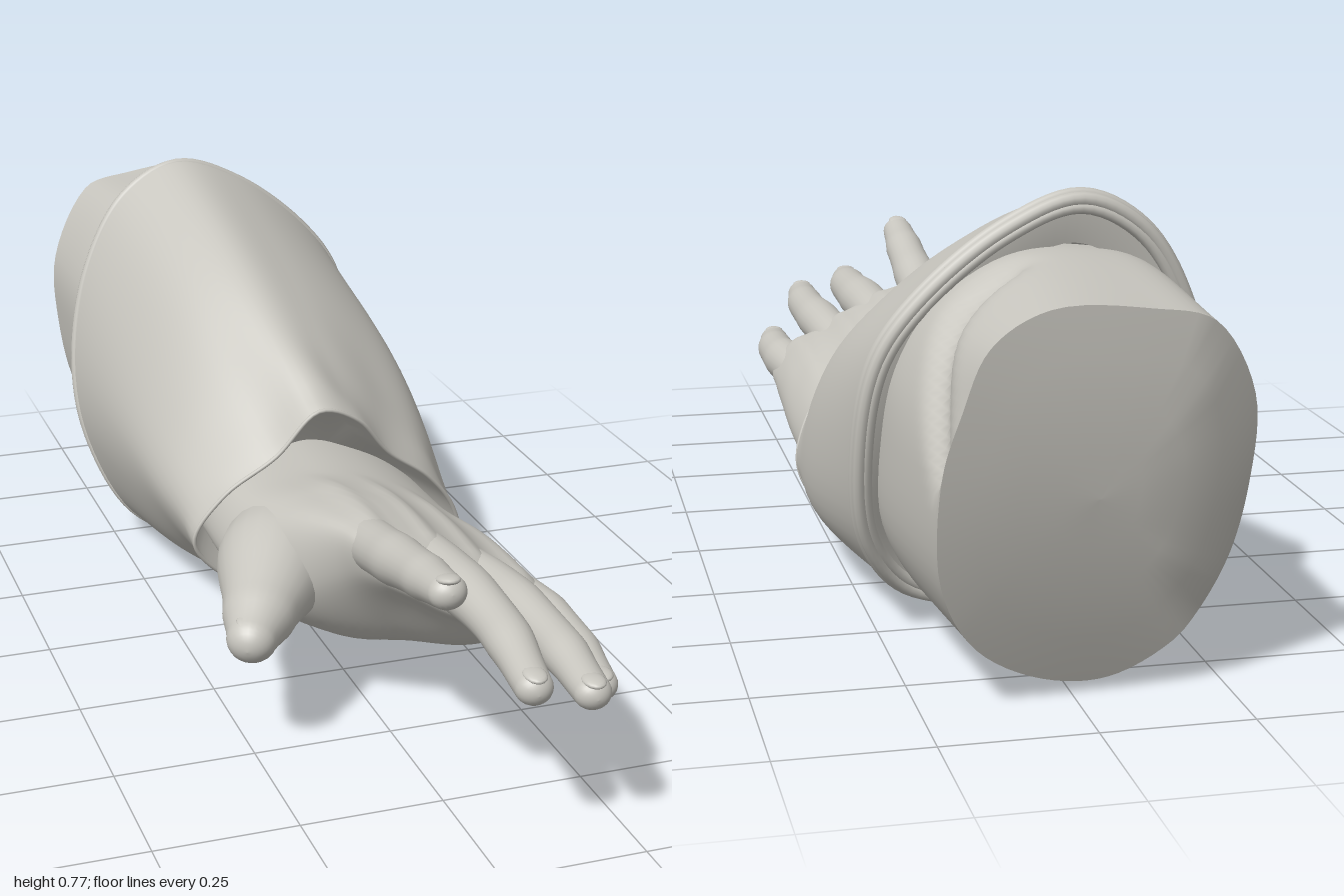
import * as THREE from 'three';

const V = (x, y, z) => new THREE.Vector3(x, y, z);
const clamp = t => Math.min(1, Math.max(0, t));
const N = 84; // points round each large ring

// Skin a list of equal-length closed rings
function skin(rings) {
  const n = rings[0].length, pos = [], idx = [];
  rings.forEach(r => r.forEach(p => pos.push(p.x, p.y, p.z)));
  for (let j = 0; j < rings.length - 1; j++) {
    for (let i = 0; i < n; i++) {
      const a = j * n + i, b = j * n + (i + 1) % n;
      idx.push(a, b, a + n, b, b + n, a + n);
    }
  }
  const g = new THREE.BufferGeometry();
  g.setAttribute('position', new THREE.Float32BufferAttribute(pos, 3));
  g.setIndex(idx);
  g.computeVertexNormals();
  return g;
}

// Smooth closed ring through x,y points, with z given by a rule
function ring(pts, zRule, scale = 1, dz = 0) {
  const c = new THREE.CatmullRomCurve3(pts.map(([x, y]) => V(x, y, 0)), true);
  const mx = pts.reduce((s, p) => s + p[0], 0) / pts.length;
  const my = pts.reduce((s, p) => s + p[1], 0) / pts.length;
  return Array.from({ length: N }, (_, i) => {
    const p = c.getPoint(i / N);
    const z = zRule(p.x, p.y) + dz;
    return V(mx + (p.x - mx) * scale, my + (p.y - my) * scale, z);
  });
}

// Smooth blend along control rings
function blend(rings, steps) {
  const curves = rings[0].map((_, i) => new THREE.CatmullRomCurve3(rings.map(r => r[i])));
  return Array.from({ length: steps + 1 }, (_, j) => curves.map(c => c.getPoint(j / steps)));
}

// Rounded limb through stations [x, y, z, halfWidth, halfThickness]
function limb(stations, bumps) {
  const steps = 28, sides = 24;
  const path = new THREE.CatmullRomCurve3(stations.map(s => V(s[0], s[1], s[2])));
  const size = new THREE.CatmullRomCurve3(stations.map(s => V(s[3], s[4], 0)));
  const rings = [];
  const add = (p, T, a, b) => {
    const R = V(0, 1, 0).cross(T).normalize();
    const U = T.clone().cross(R);
    rings.push(Array.from({ length: sides }, (_, i) => {
      const t = i / sides * Math.PI * 2;
      return p.clone().addScaledVector(R, a * Math.cos(t)).addScaledVector(U, b * Math.sin(t));
    }));
  };
  for (let j = 0; j <= steps; j++) {
    const t = j / steps, s = size.getPoint(t);
    const k = 1 + bumps.reduce((m, b) => m + 0.06 * Math.exp(-(((t - b) / 0.07) ** 2)), 0);
    add(path.getPoint(t), path.getTangent(t), s.x * k, s.y * k);
  }
  const end = path.getPoint(1), T = path.getTangent(1), s = size.getPoint(1);
  for (let j = 1; j <= 8; j++) {
    const f = j / 8 * Math.PI / 2, c = Math.max(Math.cos(f), 0.001);
    add(end.clone().addScaledVector(T, s.y * Math.sin(f)), T, s.x * c, s.y * c);
  }
  return skin(rings);
}

// Cloth cross-sections, clockwise from the top as seen from the front
const RIM = [[-.07, .755], [.06, .71], [.2, .6], [.27, .5], [.295, .35], [.275, .17], [.2, .065],
  [.04, .02], [-.1, .012], [-.22, .07], [-.295, .22], [-.308, .37], [-.265, .56], [-.18, .7]];
const MID = [[-.05, .645], [.06, .6], [.18, .51], [.27, .41], [.315, .28], [.31, .13], [.24, .05],
  [.1, .022], [-.05, .022], [-.18, .08], [-.26, .2], [-.285, .32], [-.24, .46], [-.15, .59]];
const CUFF = [[-.02, .48], [.06, .45], [.13, .37], [.22, .3], [.28, .22], [.3, .13], [.26, .06],
  [.16, .035], [.04, .065], [-.1, .112], [-.2, .17], [-.255, .25], [-.2, .335], [-.1, .4]];
const ARM = [[-.08, .67], [.06, .665], [.18, .59], [.238, .49], [.258, .37], [.248, .2], [.18, .09],
  [.05, .03], [-.07, .025], [-.17, .08], [-.25, .2], [-.275, .35], [-.268, .5], [-.18, .64]];
const END = [[-.08, .645], [.08, .652], [.17, .6], [.212, .5], [.238, .4], [.23, .22], [.165, .1],
  [.05, .03], [-.06, .02], [-.16, .08], [-.24, .2], [-.27, .35], [-.265, .49], [-.18, .62]];

// Palm cross-sections, top edge then underside
const KNUCKLES = [[-.07, .385], [0, .385], [.09, .35], [.18, .3], [.265, .25],
  [.285, .2], [.22, .165], [.12, .2], [.03, .25], [-.06, .32]];
const PAD = [[-.085, .385], [0, .39], [.09, .355], [.18, .305], [.265, .25],
  [.285, .19], [.2, .13], [.1, .14], [.01, .19], [-.085, .29]];
const PALM = [[-.12, .37], [0, .388], [.1, .35], [.19, .3], [.27, .24],
  [.285, .17], [.2, .095], [.09, .11], [-.03, .13], [-.14, .23]];
const HEEL = [[-.15, .348], [-.02, .378], [.1, .343], [.19, .293], [.265, .23],
  [.285, .15], [.2, .065], [.06, .08], [-.08, .12], [-.2, .21]];
const WRIST = [[-.17, .33], [-.02, .355], [.1, .33], [.2, .275], [.265, .21],
  [.28, .13], [.19, .052], [.04, .08], [-.1, .127], [-.21, .23]];

const rimZ = (x, y) => -.425 - .18 * (1 - (1 - y / .77) ** 2) - .06 * x;
const midZ = (x, y) => -.17 - .05 * y;
const cuffZ = (x, y) => .08 + .17 * y - .1 * x;
const endZ = (x, y) => -1 + .155 * Math.max(0, 1 - y / .65) ** 2 + .07 * Math.max(0, .2 - x)
  + .5 * Math.max(0, -.17 - x);

export function createModel() {
  const root = new THREE.Group();
  const grey = new THREE.MeshStandardMaterial({ color: 0xc8c6bf });
  grey.name = 'warm grey';
  const cloth = new THREE.MeshStandardMaterial({ color: 0xc8c6bf, side: THREE.DoubleSide });
  cloth.name = 'warm grey cloth';
  const add = (name, geo, mat = grey, parent = root) => {
    const m = new THREE.Mesh(geo, mat);
    m.name = name;
    parent.add(m);
    return m;
  };

  // Outer sleeve, gathered into small folds near the cuff
  const sleeve = blend([ring(CUFF, cuffZ), ring(MID, midZ), ring(RIM, rimZ, 1.02)], 36);
  sleeve.forEach((r, j) => {
    const amp = .009 * Math.min(1, j / 3) * Math.exp(-(((j - 4) / 5) ** 2));
    r.forEach((p, i) => {
      const k = 1 + amp * (Math.sin(i * .75) + Math.sin(i * .45 + j * .3));
      p.x *= k;
      p.y = .23 + (p.y - .23) * k;
    });
  });
  add('sleeve', skin(sleeve), cloth);
  add('cuffLining', skin([[1, 0], [.95, -.05], [.85, -.12], [.4, -.2], [.001, -.2]]
    .map(([s, dz]) => ring(CUFF, cuffZ, s, dz))), cloth);
  add('rimLining', skin([[1, -.02], [.93, -.022], [.8, -.01]].map(([s, dz]) => ring(RIM, rimZ, s, dz))), cloth);

  // Hems
  const hem = (name, pts, zRule, r, scale, dz) => {
    const c = new THREE.CatmullRomCurve3(ring(pts, zRule, scale, dz), true);
    add(name, new THREE.TubeGeometry(c, 120, r, 10, true));
  };
  hem('cuffHem', CUFF, cuffZ, .004, .995, 0);
  hem('rimHemFront', RIM, rimZ, .012, .998, -.004);
  hem('rimHemBack', RIM, rimZ, .012, .985, -.02);
  hem('rimHemInner', RIM, rimZ, .01, .95, -.022);

  // Inner sleeve with a diagonal crease, and its cut end
  const arm = blend([ring(ARM, rimZ, .97, .06), ring(ARM, rimZ, 1, -.06), ring(END, endZ)], 44);
  arm.slice(0, -1).forEach(r => r.forEach(p => {
    const d = p.z + .7 + (.66 - p.y) * 1.04;
    const push = .02 * Math.exp(-((d / .045) ** 2))
      * clamp((p.x - .03) / .06) * clamp((p.y - .36) / .06) * clamp((-.64 - p.z) / .08);
    p.x -= push;
    p.y -= push;
  }));
  add('innerSleeve', skin(arm), cloth);
  const edge = ring(END, endZ);
  add('cutEnd', skin([1, .75, .5, .25, .001].map(s => edge.map(p => {
    const x = -.01 + (p.x + .01) * s, y = .35 + (p.y - .35) * s;
    return V(x, y, endZ(x, y));
  }))));

  // Hand: palm and wrist sloping to the little finger, with soft tendons on the back
  const hand = new THREE.Group();
  hand.name = 'hand';
  root.add(hand);
  const palm = blend([
    [KNUCKLES, .565, .01], [KNUCKLES, .56, .7], [KNUCKLES, .535, .97], [PAD, .47, 1],
    [PALM, .38, 1], [HEEL, .28, 1], [WRIST, .15, 1], [WRIST, -.06, .97],
  ].map(([pts, z, s]) => ring(pts, () => z, s)), 56);
  palm.forEach(r => r.forEach((p, i) => {
    const back = i < N * .42 ? clamp((p.z - .15) / .15) * clamp((.56 - p.z) / .05) : 0;
    for (const x of [-.03, .065, .15, .235]) p.y += .009 * back * Math.exp(-(((p.x - x) / .02) ** 2));
  }));
  add('palm', skin(palm), grey, hand);

  // Fingers with knuckles and nails
  const fingers = {
    indexFinger: [[-.03, .335, .38, .048, .046], [-.037, .372, .56, .044, .044], [-.042, .41, .73, .039, .038], [-.048, .437, .86, .032, .029]],
    middleFinger: [[.055, .31, .38, .048, .046], [.068, .327, .58, .047, .045], [.073, .325, .8, .04, .038], [.054, .31, .97, .031, .029]],
    ringFinger: [[.135, .262, .38, .048, .046], [.161, .285, .58, .044, .043], [.17, .286, .8, .038, .037], [.157, .281, .964, .031, .028]],
    littleFinger: [[.205, .21, .36, .048, .046], [.246, .22, .53, .042, .043], [.255, .217, .68, .037, .037], [.242, .209, .82, .03, .028]],
    thumb: [[-.06, .245, .17, .12, .1], [-.14, .25, .29, .11, .1], [-.2, .243, .405, .076, .07], [-.256, .224, .51, .044, .042]],
  };
  for (const [name, path] of Object.entries(fingers)) {
    add(name, limb(path, name === 'thumb' ? [.85] : [.45, .75]), grey, hand);
    const [x, y, z, w, h] = path[3];
    const nail = add(name + 'Nail', new THREE.SphereGeometry(1, 16, 10), grey, hand);
    nail.position.set(x, y + h * .76, z + .002);
    nail.scale.set(w * .62, .008, .026);
    nail.rotation.x = Math.atan2(path[2][1] - y, z - path[2][2]);
  }

  return root;
}
